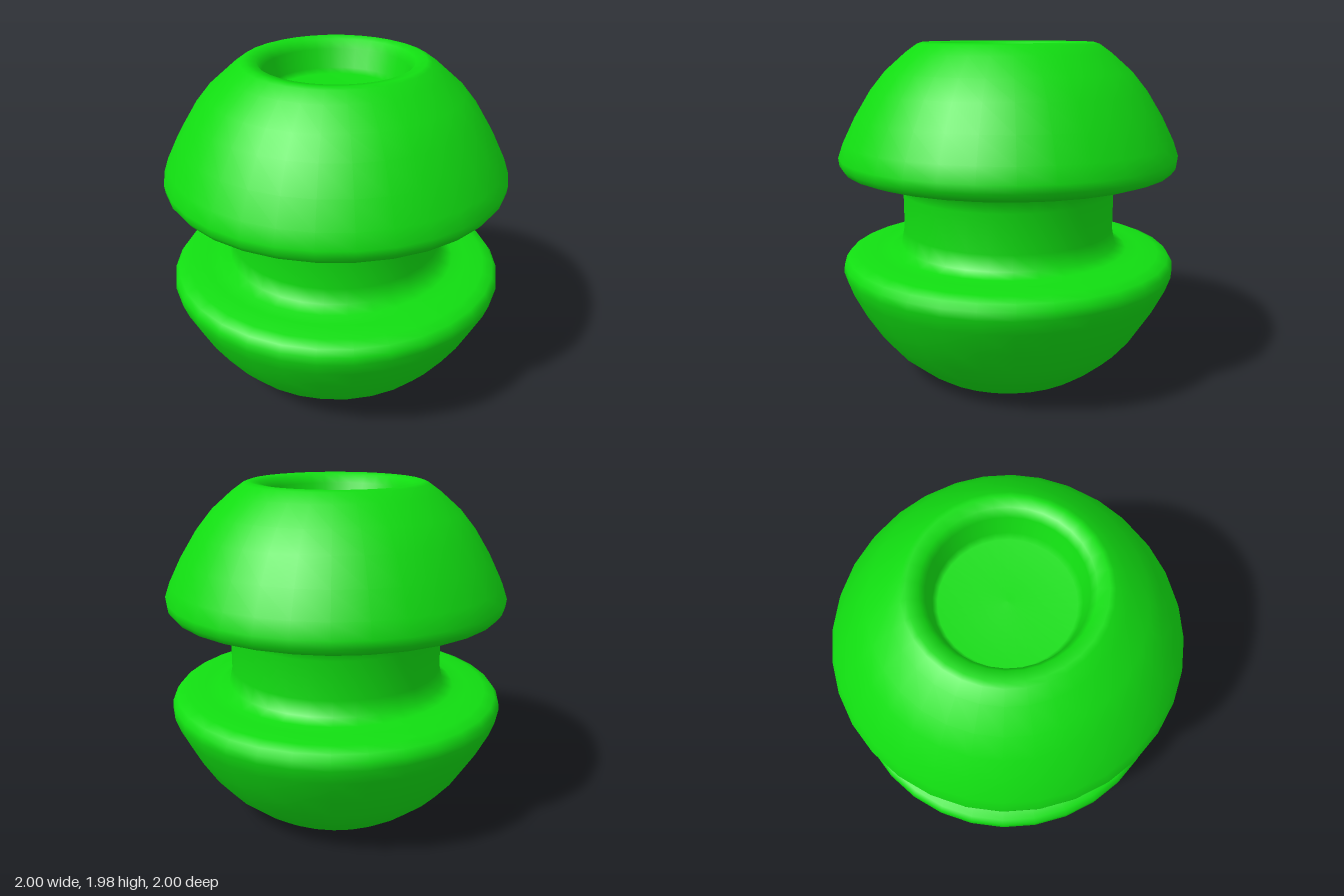
import * as THREE from 'three';

export function createModel() {
  const group = new THREE.Group();
  const height = 1.975;

  // Lower half of the profile: recess centre, rim, flared bowl, flange, waist
  const lower = [
    [0, 0.2], [0.36, 0.2], [0.385, 0.17], [0.41, 0.06], [0.44, 0.01], [0.5, 0],
    [0.53, 0.01], [0.6, 0.06], [0.72, 0.165], [0.81, 0.275], [0.9, 0.42],
    [0.97, 0.56], [1, 0.645], [0.995, 0.69], [0.97, 0.725], [0.91, 0.747],
    [0.8, 0.755], [0.72, 0.76], [0.655, 0.785], [0.635, 0.875],
  ];
  // The upper half mirrors the lower one
  const upper = lower.map(([r, y]) => [r, height - y]).reverse();
  const profile = [...lower, ...upper].map(([r, y]) => new THREE.Vector2(r, y));

  const spool = new THREE.Mesh(
    new THREE.LatheGeometry(profile, 32),
    new THREE.MeshStandardMaterial({ color: 0x11dd11 })
  );
  spool.name = 'groovedSpool';
  group.add(spool);
  return group;
}
